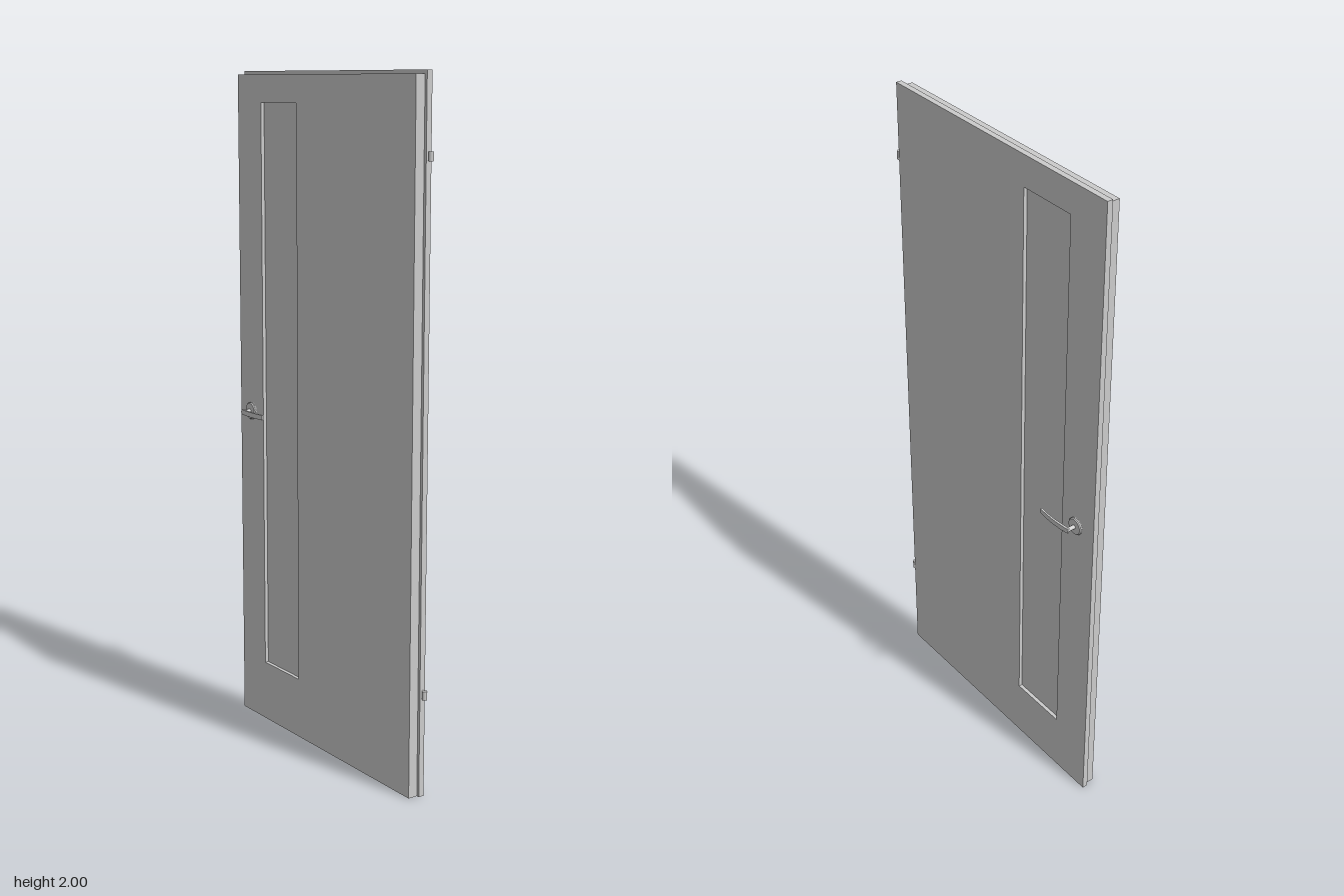
import * as THREE from 'three';

const material = new THREE.MeshStandardMaterial({ color: 0xcccccc });

function add(parent, name, geometry, x = 0, y = 0, z = 0) {
  const mesh = new THREE.Mesh(geometry, material);
  mesh.name = name;
  mesh.position.set(x, y, z);
  parent.add(mesh);
  return mesh;
}

// Rectangle outline, used for the leaf and its window opening
function rect(path, x0, x1, y0, y1) {
  path.moveTo(x0, y0);
  path.lineTo(x1, y0);
  path.lineTo(x1, y1);
  path.lineTo(x0, y1);
  path.closePath();
  return path;
}

const WINDOW = [-0.315, -0.13, 0.185, 1.91];

// Leaf layer with the tall window cut through it
function layer(x0, x1, y0, y1, depth) {
  const shape = rect(new THREE.Shape(), x0, x1, y0, y1);
  shape.holes.push(rect(new THREE.Path(), ...WINDOW));
  return new THREE.ExtrudeGeometry(shape, { depth, bevelEnabled: false });
}

// Rose, spindle and curved lever, built outward along +z from the door face
function createHandle(name) {
  const handle = new THREE.Group();
  handle.name = name;

  const rose = [[0, 0], [0.026, 0], [0.026, 0.006], [0.026, 0.006], [0.0235, 0.009], [0.0235, 0.009], [0, 0.009]];
  add(handle, 'rose', new THREE.LatheGeometry(rose.map(p => new THREE.Vector2(...p)), 32)).rotation.x = Math.PI / 2;
  add(handle, 'spindle', new THREE.CylinderGeometry(0.006, 0.006, 0.03, 20), 0, 0, 0.022).rotation.x = Math.PI / 2;

  // Bowed lever profile seen from above, extruded over its height
  const profile = new THREE.Shape();
  profile.moveTo(-0.006, 0.031);
  profile.lineTo(0.006, 0.031);
  profile.quadraticCurveTo(0.06, 0.039, 0.112, 0.032);
  profile.lineTo(0.112, 0.037);
  profile.quadraticCurveTo(0.06, 0.045, 0.004, 0.038);
  profile.quadraticCurveTo(-0.006, 0.037, -0.006, 0.031);
  const lever = new THREE.ExtrudeGeometry(profile, { depth: 0.015, bevelEnabled: false, curveSegments: 12 });
  lever.rotateX(Math.PI / 2);
  // Extrusion now runs down y, with the profile lying in x and z
  add(handle, 'lever', lever, 0, 0.0075, 0);
  return handle;
}

export function createModel() {
  const door = new THREE.Group();
  door.name = 'door';

  // Rebated leaf: smaller front layer, overlapping back layer
  add(door, 'frontLeaf', layer(-0.44, 0.42, 0, 1.99, 0.029), 0, 0, -0.007);
  add(door, 'backLeaf', layer(-0.449, 0.429, 0, 2, 0.017), 0, 0, -0.024);

  // Recessed window pane
  const [x0, x1, y0, y1] = WINDOW;
  add(door, 'windowPane', new THREE.BoxGeometry(x1 - x0, y1 - y0, 0.024), (x0 + x1) / 2, (y0 + y1) / 2, -0.001);

  // The back handle is the front one turned about the x axis
  const front = createHandle('frontHandle');
  front.position.set(-0.377, 0.98, 0.022);
  const back = createHandle('backHandle');
  back.position.set(-0.377, 0.98, -0.024);
  back.rotation.x = Math.PI;
  door.add(front, back);

  // Hinge knuckles on the left edge
  for (const y of [0.303, 1.78]) {
    const hinge = new THREE.Group();
    hinge.name = 'hinge';
    add(hinge, 'knuckle', new THREE.CylinderGeometry(0.0075, 0.0075, 0.025, 16), 0.438, y, -0.016);
    add(hinge, 'hingePlate', new THREE.BoxGeometry(0.012, 0.025, 0.005), 0.43, y, -0.016);
    door.add(hinge);
  }
  return door;
}
